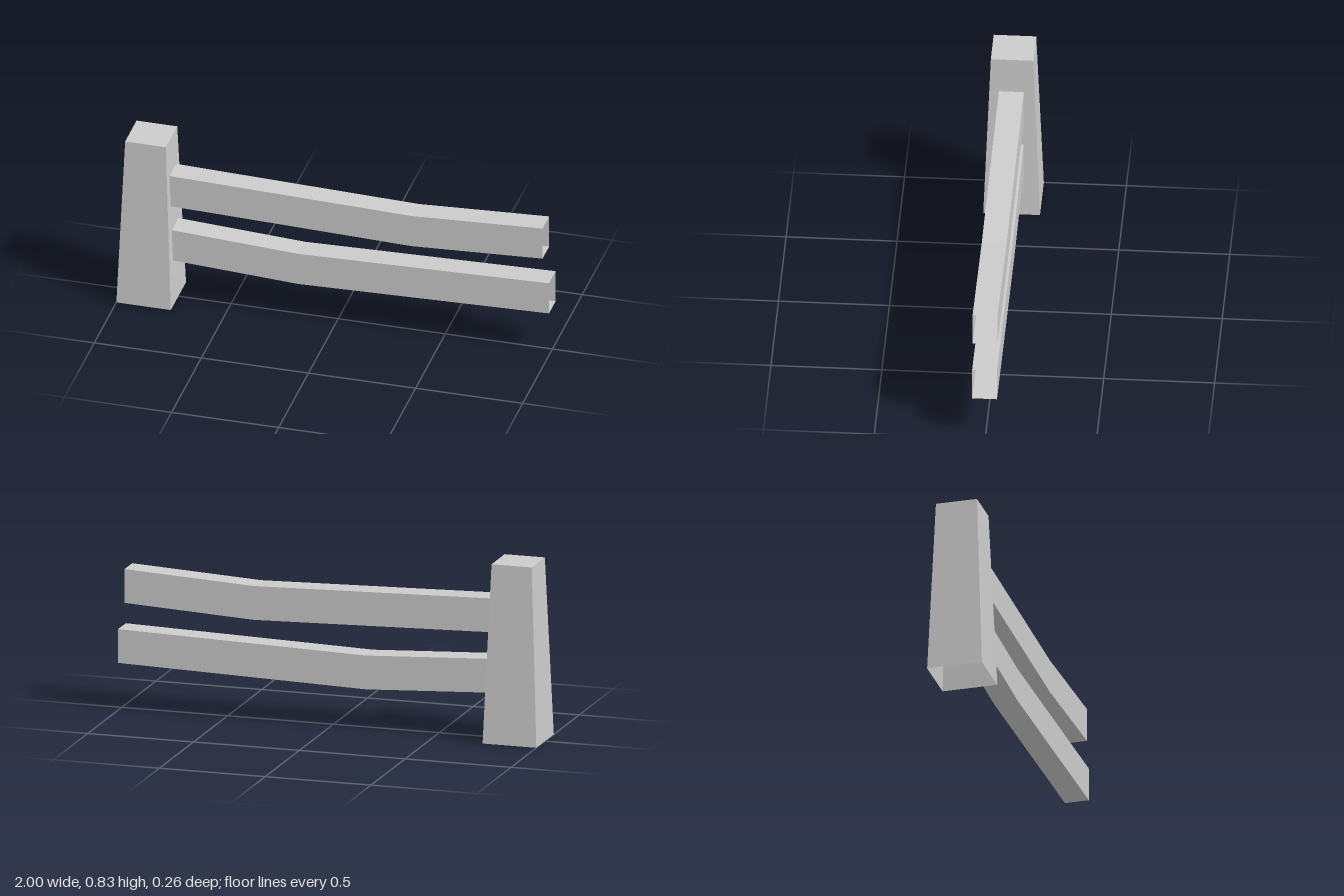
import * as THREE from 'three';

const material = new THREE.MeshStandardMaterial({ color: 0xcccccc, side: THREE.DoubleSide, flatShading: true });

// Box whose vertices are moved by a rule, with some faces left open
function shapedBox(name, segments, keepIndex, move) {
  const box = new THREE.BoxGeometry(2, 2, 2, segments, 1, 1);
  const p = box.attributes.position;
  const v = new THREE.Vector3();
  for (let i = 0; i < p.count; i++) {
    move(v.fromBufferAttribute(p, i));
    p.setXYZ(i, v.x, v.y, v.z);
  }
  box.setIndex(keepIndex(Array.from(box.index.array)));
  box.clearGroups();
  const geometry = box.toNonIndexed();
  geometry.computeVertexNormals();
  const mesh = new THREE.Mesh(geometry, material);
  mesh.name = name;
  return mesh;
}

// Hollow rail: open at both ends, sagging at one bend
function rail(name, start, bend, end, bottom, sag) {
  const height = 0.157;
  return shapedBox(name, 2, (index) => index.slice(12), (v) => {
    const atBend = Math.abs(v.x) < 0.5;
    v.y = bottom + (v.y > 0 ? height : 0) - (atBend ? sag : 0);
    v.x = atBend ? bend : v.x < 0 ? start : end;
    v.z = 0.003 + v.z * 0.056;
  });
}

export function createModel() {
  const group = new THREE.Group();
  group.name = 'fenceSection';

  // Tapered post with an open underside (the bottom face is skipped)
  group.add(shapedBox('post', 1, (index) => [...index.slice(0, 18), ...index.slice(24)], (v) => {
    const top = v.y > 0;
    v.x = -0.873 + v.x * (top ? 0.095 : 0.127);
    v.z *= top ? 0.096 : 0.128;
    v.y = top ? 0.827 : 0;
  }));

  // Two bent rails running from the post
  group.add(rail('upperRail', -0.78, 0.36, 0.97, 0.5, 0.031));
  group.add(rail('lowerRail', -0.765, -0.17, 1, 0.219, 0.031));
  return group;
}
